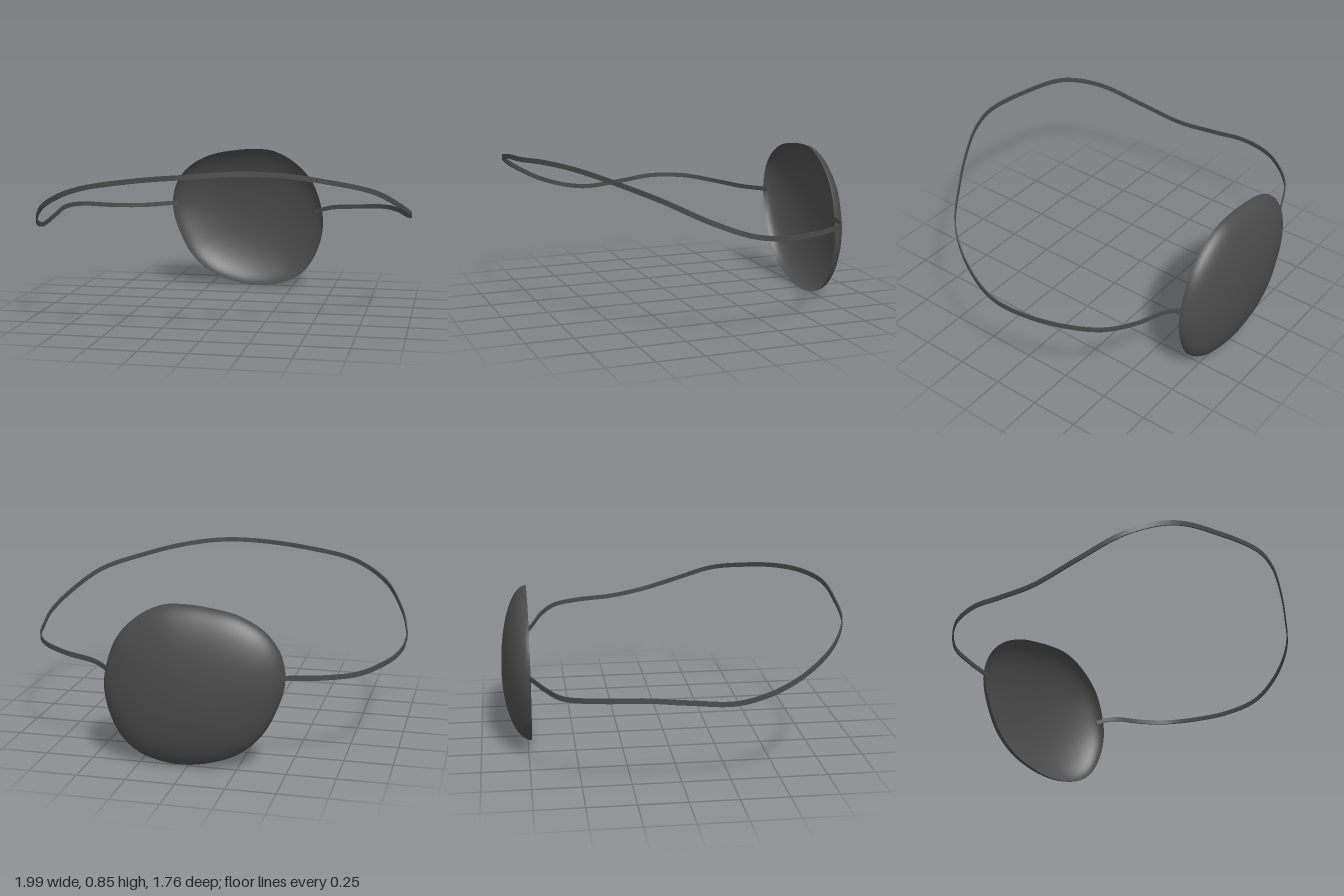
import * as THREE from 'three';
import { toCreasedNormals } from 'three/addons/utils/BufferGeometryUtils.js';

const material = new THREE.MeshStandardMaterial({ color: 0x4a4a4a, side: THREE.DoubleSide });

// Indexed grid of quads: rows x cols points, columns wrapping around
function loft(rows, cols, pointAt) {
  const pos = [], index = [];
  for (let i = 0; i < rows; i++)
    for (let j = 0; j < cols; j++) pos.push(...pointAt(i, j).toArray());
  for (let i = 0; i < rows - 1; i++)
    for (let j = 0; j < cols; j++) {
      const k = (j + 1) % cols;
      const a = i * cols + j, b = i * cols + k, c = a + cols, d = b + cols;
      index.push(a, c, b, b, c, d);
    }
  const geo = new THREE.BufferGeometry();
  geo.setAttribute('position', new THREE.Float32BufferAttribute(pos, 3));
  geo.setIndex(index);
  return geo;
}

// Cupped patch: rounded outline shrinking along an elliptical dome towards the back
function createPatch() {
  const outline = new THREE.CatmullRomCurve3([
    [0.02, 0.83], [0.13, 0.82], [0.25, 0.76], [0.36, 0.65], [0.42, 0.5], [0.435, 0.38], [0.41, 0.25],
    [0.35, 0.13], [0.26, 0.05], [0.15, 0.012], [0.03, 0], [-0.1, 0.018], [-0.25, 0.075], [-0.37, 0.18],
    [-0.45, 0.33], [-0.485, 0.45], [-0.485, 0.53], [-0.455, 0.63], [-0.38, 0.72], [-0.25, 0.79], [-0.1, 0.82],
  ].map(([x, y]) => new THREE.Vector3(x, y, -0.732)), true);
  const cols = 72, rows = 20;
  const rim = outline.getSpacedPoints(cols);
  const apex = new THREE.Vector3(-0.03, 0.39, -0.732);
  const geo = loft(rows, cols, (i, j) => {
    const t = (i / (rows - 1)) * Math.PI / 2;
    const p = apex.clone().lerp(rim[j], Math.max(Math.cos(t), 0.0005));
    p.z -= 0.147 * Math.sin(t);
    return p;
  });
  geo.computeVertexNormals();
  return new THREE.Mesh(geo, material);
}

// Flat elastic strap: thin upright rectangle swept along the head loop
function createStrap() {
  const path = new THREE.CatmullRomCurve3([
    [0.385, 0.45, -0.745], [0.43, 0.475, -0.725], [0.5, 0.495, -0.69], [0.66, 0.51, -0.64],
    [0.81, 0.525, -0.55], [0.9, 0.527, -0.4], [0.96, 0.528, -0.2], [0.99, 0.558, 0],
    [0.94, 0.63, 0.2], [0.82, 0.72, 0.39], [0.6, 0.785, 0.56], [0.4, 0.825, 0.69],
    [0.2, 0.84, 0.8], [0, 0.83, 0.868], [-0.3, 0.803, 0.866], [-0.6, 0.75, 0.83],
    [-0.8, 0.66, 0.71], [-0.92, 0.55, 0.5], [-0.975, 0.487, 0.25], [-0.99, 0.504, 0],
    [-0.995, 0.525, -0.2], [-0.955, 0.518, -0.4], [-0.82, 0.49, -0.58], [-0.65, 0.483, -0.665],
    [-0.5, 0.49, -0.73], [-0.46, 0.49, -0.748],
  ].map((p) => new THREE.Vector3(...p)));
  const steps = 160, up = new THREE.Vector3(0, 1, 0);
  const halfHeight = 0.0125, halfThick = 0.0035;
  const corners = [[-1, -1], [1, -1], [1, 1], [-1, 1]];
  const geo = loft(steps + 1, 4, (i, j) => {
    const tangent = path.getTangentAt(i / steps);
    const side = new THREE.Vector3().crossVectors(up, tangent).normalize();
    const rise = new THREE.Vector3().crossVectors(tangent, side);
    return path.getPointAt(i / steps)
      .addScaledVector(side, corners[j][0] * halfThick)
      .addScaledVector(rise, corners[j][1] * halfHeight);
  });
  // Reverse winding to face outward, then close both ends
  const last = steps * 4;
  const index = Array.from(geo.index.array).reverse();
  index.push(0, 2, 1, 0, 3, 2, last, last + 1, last + 2, last, last + 2, last + 3);
  geo.setIndex(index);
  return new THREE.Mesh(toCreasedNormals(geo, 0.7), material);
}

export function createModel() {
  const group = new THREE.Group();
  group.name = 'eyePatch';
  const patch = createPatch();
  patch.name = 'patch';
  const strap = createStrap();
  strap.name = 'strap';
  group.add(patch, strap);
  return group;
}
